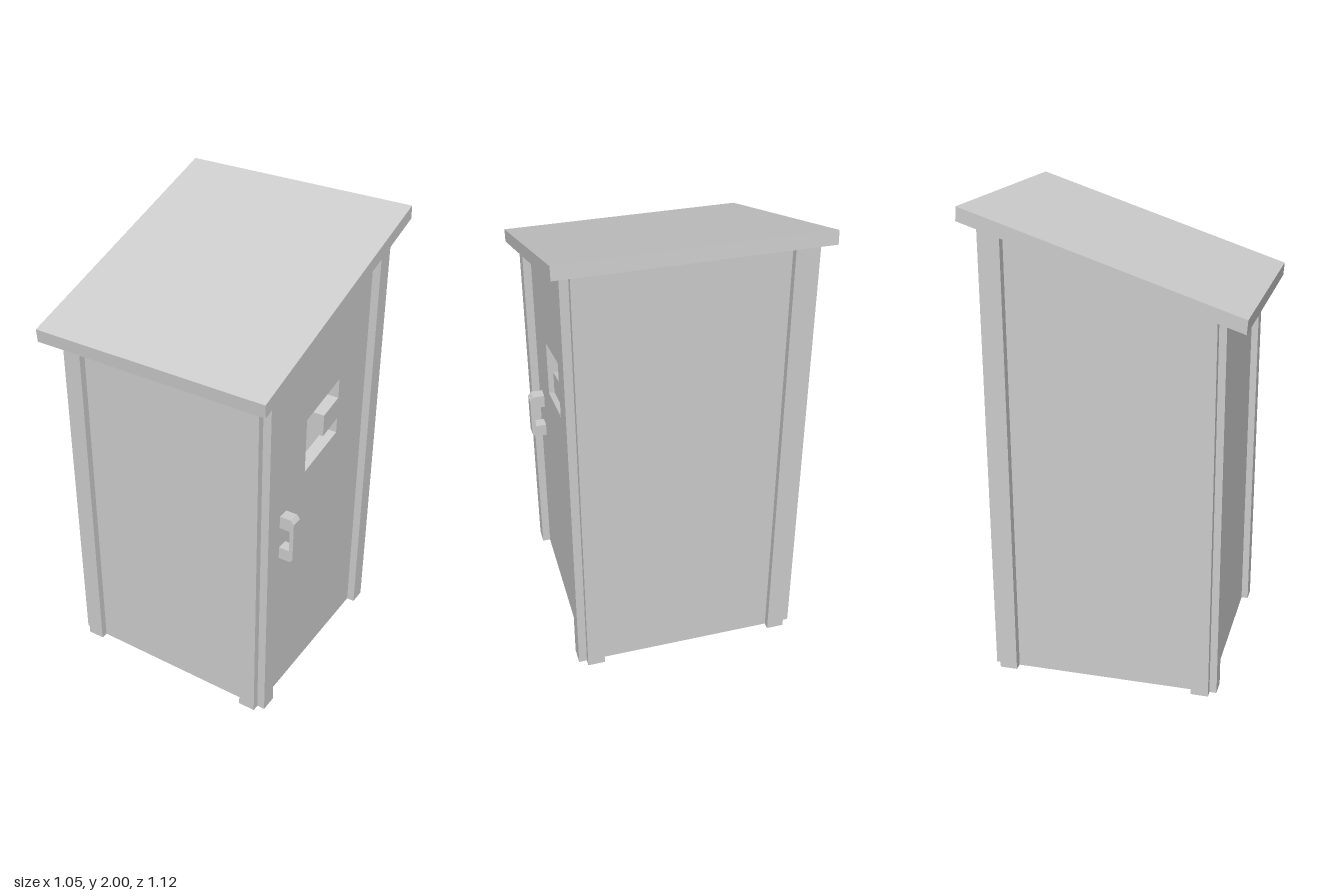
import * as THREE from 'three';

const SLOPE = 0.327, EAVE = 1.76; // roof underside: y = EAVE - SLOPE * z
const WALL = { x0: -0.465, x1: 0.45, z0: -0.475, z1: 0.445, t: 0.055 };
const material = new THREE.MeshStandardMaterial({ color: 0xcccccc, side: THREE.DoubleSide });

const underRoof = (z) => EAVE - SLOPE * z;

// Extrudes a [z, y] outline along x from x0 to x1, with optional hole.
function sidePrism(name, outline, x0, x1, hole) {
  const toPoints = (list) => list.map(([z, y]) => new THREE.Vector2(-z, y));
  const shape = new THREE.Shape(toPoints(outline));
  if (hole) shape.holes.push(new THREE.Path(toPoints(hole)));
  const geometry = new THREE.ExtrudeGeometry(shape, { depth: x1 - x0, bevelEnabled: false });
  geometry.rotateY(Math.PI / 2).translate(x0, 0, 0);
  const mesh = new THREE.Mesh(geometry, material);
  mesh.name = name;
  return mesh;
}

// Upright slab standing on the ground, its top cut to the roof slope.
function upright(name, x0, x1, z0, z1, gap = 0, hole) {
  const outline = [[z1, 0], [z0, 0], [z0, underRoof(z0) - gap], [z1, underRoof(z1) - gap]];
  return sidePrism(name, outline, x0, x1, hole);
}

export function createModel() {
  const model = new THREE.Group();
  model.name = 'shed';
  const { x0, x1, z0, z1, t } = WALL;

  // Hollow body: four walls and a floor, with a notched window in the door wall
  const windowHole = [
    [0.105, 1.305], [-0.16, 1.365], [-0.16, 1.275], [-0.04, 1.25],
    [-0.04, 1.15], [-0.16, 1.175], [-0.16, 1.105], [0.105, 1.055],
  ];
  model.add(upright('doorWall', x1 - t, x1, z0, z1, 0.006, windowHole));
  model.add(upright('sideWall', x0, x0 + t, z0, z1, 0.006));
  model.add(upright('frontWall', x0 + t, x1 - t, z1 - t, z1, 0.006));
  model.add(upright('backWall', x0 + t, x1 - t, z0, z0 + t, 0.006));

  const floor = new THREE.Mesh(
    new THREE.BoxGeometry(x1 - x0 - 2 * t, 0.04, z1 - z0 - 2 * t), material);
  floor.name = 'floor';
  floor.position.set((x0 + x1) / 2, 0.02, (z0 + z1) / 2);
  model.add(floor);

  // Two trim boards at each corner, leaving a notch between them
  const width = 0.075, thickX = 0.035, thickZ = 0.03;
  for (const sx of [-1, 1]) {
    for (const sz of [-1, 1]) {
      const cx = sx > 0 ? x1 : x0, cz = sz > 0 ? z1 : z0;
      const span = (a, b) => [Math.min(a, b), Math.max(a, b)];
      const corner = new THREE.Group();
      corner.name = 'cornerTrim';
      corner.add(
        upright('endBoard', ...span(cx, cx - sx * width), ...span(cz, cz + sz * thickZ)),
        upright('sideBoard', ...span(cx, cx + sx * thickX), ...span(cz, cz - sz * width)));
      model.add(corner);
    }
  }

  // Sloping roof slab
  const rz = 0.562, thick = 0.056;
  model.add(sidePrism('roof', [
    [rz - 0.004, underRoof(rz)], [-rz, underRoof(-rz)],
    [-rz + 0.004, underRoof(-rz) + thick], [rz, underRoof(rz) + thick],
  ], -0.527, 0.527));

  // Door handle: a chamfered bracket, profile in x and y
  const grip = new THREE.Shape([
    [x1, 0.735], [0.5, 0.735], [0.515, 0.75], [0.515, 0.93], [0.5, 0.948], [x1, 0.948],
    [x1, 0.89], [0.497, 0.89], [0.497, 0.79], [x1, 0.79],
  ].map(([x, y]) => new THREE.Vector2(x, y)));
  const handle = new THREE.Mesh(
    new THREE.ExtrudeGeometry(grip, { depth: 0.05, bevelEnabled: false }), material);
  handle.name = 'doorHandle';
  handle.position.z = 0.248;
  model.add(handle);

  return model;
}
